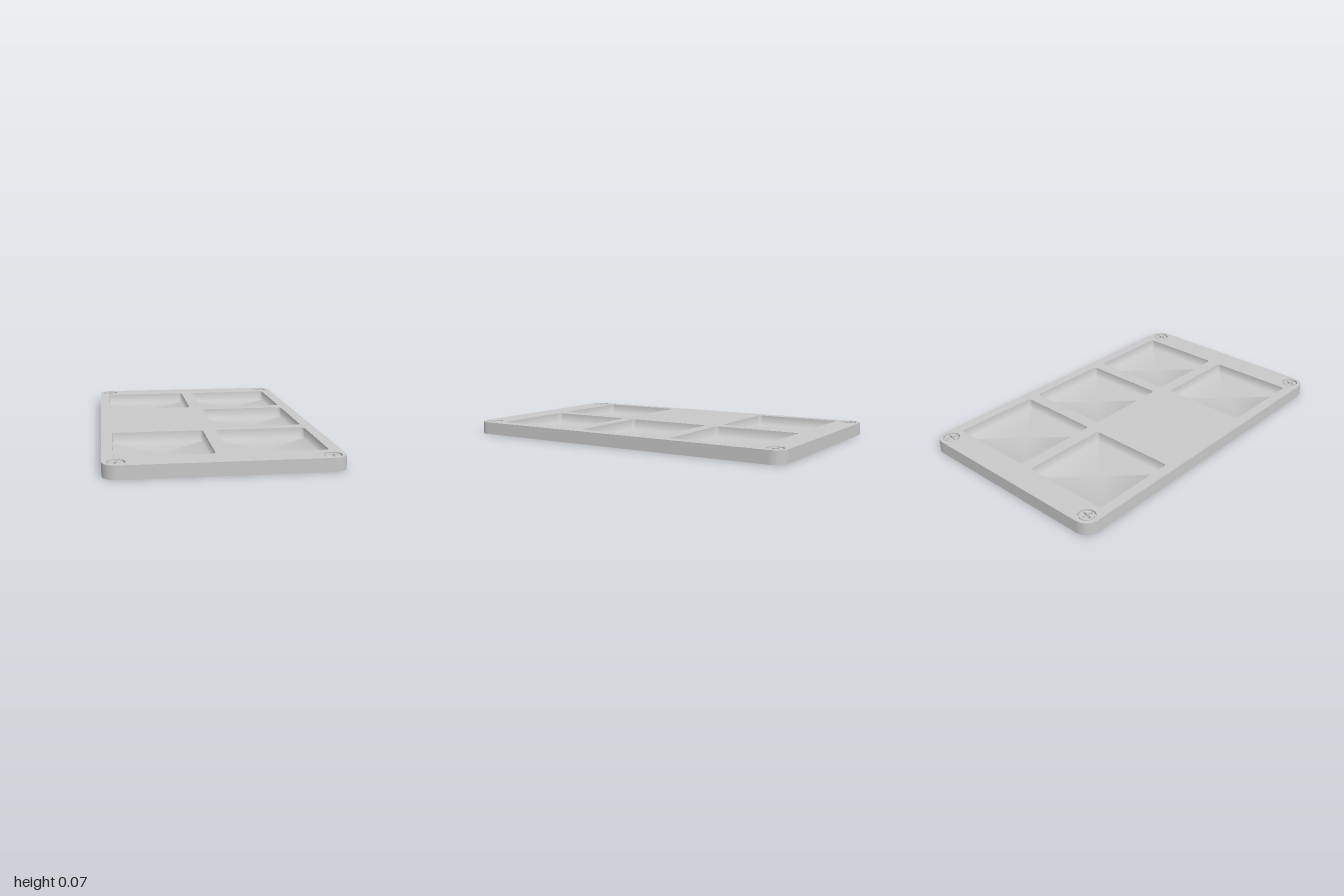
import * as THREE from 'three';

const grey = new THREE.MeshStandardMaterial({ color: 0xc8c8c8 });
grey.name = 'light grey';

const TOP = 0.072, CEILING = 0.057;

// Outline of a rounded rectangle, counter-clockwise seen from above
function roundedRect(halfX, halfY, radius, cx = 0, cy = 0, steps = 6) {
  const points = [];
  const signs = [[1, 1], [-1, 1], [-1, -1], [1, -1]];
  signs.forEach(([sx, sy], corner) => {
    for (let i = 0; i <= steps; i++) {
      const a = (corner + i / steps) * Math.PI / 2;
      points.push(new THREE.Vector2(
        cx + sx * (halfX - radius) + radius * Math.cos(a),
        cy + sy * (halfY - radius) + radius * Math.sin(a)));
    }
  });
  return points;
}

function circle(radius, cx = 0, cy = 0, sides = 32) {
  return Array.from({ length: sides }, (_, i) => {
    const a = i / sides * Math.PI * 2;
    return new THREE.Vector2(cx + radius * Math.cos(a), cy + radius * Math.sin(a));
  });
}

// Flat slab between two heights, with holes
function slab(name, outline, holes, y0, y1) {
  const shape = new THREE.Shape(outline);
  shape.holes = holes.map((points) => new THREE.Path(points));
  const geometry = new THREE.ExtrudeGeometry(shape, { depth: y1 - y0, bevelEnabled: false });
  geometry.rotateX(-Math.PI / 2).translate(0, y0, 0);
  const mesh = new THREE.Mesh(geometry, grey);
  mesh.name = name;
  return mesh;
}

// Smooth square basin: drafted wall down to a flat floor
function basin(name, topHalf, topY, floorHalf, floorY, inside) {
  const top = roundedRect(topHalf, topHalf, 0.02);
  const floor = roundedRect(floorHalf, floorHalf, 0.02);
  const n = top.length, positions = [], index = [];
  top.forEach((p) => positions.push(p.x, topY, -p.y));
  floor.forEach((p) => positions.push(p.x, floorY, -p.y));
  positions.push(0, floorY, 0);
  const face = (a, b, c) => index.push(...(inside ? [a, b, c] : [a, c, b]));
  for (let i = 0; i < n; i++) {
    const j = (i + 1) % n;
    face(i, j, n + j);
    face(i, n + j, n + i);
    face(2 * n, n + i, n + j);
  }
  const geometry = new THREE.BufferGeometry();
  geometry.setAttribute('position', new THREE.Float32BufferAttribute(positions, 3));
  geometry.setIndex(index);
  geometry.computeVertexNormals();
  const mesh = new THREE.Mesh(geometry, grey);
  mesh.name = name;
  return mesh;
}

// Screw head with a cross recess
function createScrew() {
  const screw = new THREE.Group();
  screw.name = 'screw';
  const long = 0.029, w = 0.006;
  const cross = [];
  for (let i = 0; i < 4; i++) {
    const turn = i * Math.PI / 2;
    [[long, -w], [long, w], [w, w]].forEach(([x, y]) =>
      cross.push(new THREE.Vector2(x, y).rotateAround(new THREE.Vector2(), turn)));
  }
  screw.add(slab('screwHead', circle(0.039), [cross], 0.05, 0.069));
  const base = new THREE.Mesh(new THREE.CylinderGeometry(0.044, 0.044, 0.035, 32), grey);
  base.name = 'screwSeat';
  base.position.y = 0.0375;
  screw.add(base);
  return screw;
}

export function createModel() {
  const model = new THREE.Group();
  model.name = 'pocketPlate';

  // Five pockets; the middle left cell stays blank
  const cells = [];
  for (const x of [-0.294, 0.292]) {
    for (const z of [-0.591, -0.004, 0.583]) {
      if (x > 0 || Math.abs(z) > 0.1) cells.push([x, z]);
    }
  }
  const screws = [];
  for (const x of [-0.54, 0.54]) for (const z of [-0.93, 0.93]) screws.push([x, z]);

  // Face plate and the rim below it
  const outline = roundedRect(0.61, 1, 0.075, 0, 0, 12);
  model.add(slab('facePlate', outline, [
    ...cells.map(([x, z]) => roundedRect(0.256, 0.256, 0.02, x, -z)),
    ...screws.map(([x, z]) => circle(0.047, x, -z)),
  ], CEILING, TOP));
  model.add(slab('rim', outline, [roundedRect(0.58, 0.97, 0.045, 0, 0, 12)], 0, CEILING));

  // Pocket trays, hollow from above and boxed from below
  cells.forEach(([x, z]) => {
    const pocket = new THREE.Group();
    pocket.name = 'pocket';
    pocket.position.set(x, 0, z);
    pocket.add(
      basin('pocketInside', 0.256, TOP, 0.252, 0.012, true),
      basin('pocketOutside', 0.266, CEILING, 0.262, 0.004, false));
    model.add(pocket);
  });

  // Corner screws in tubular bosses
  screws.forEach(([x, z]) => {
    const screw = createScrew();
    screw.position.set(x, 0, z);
    screw.rotation.y = -0.2;
    const boss = slab('screwBoss', circle(0.052), [circle(0.044)], 0.012, CEILING);
    screw.add(boss);
    model.add(screw);
  });

  return model;
}
